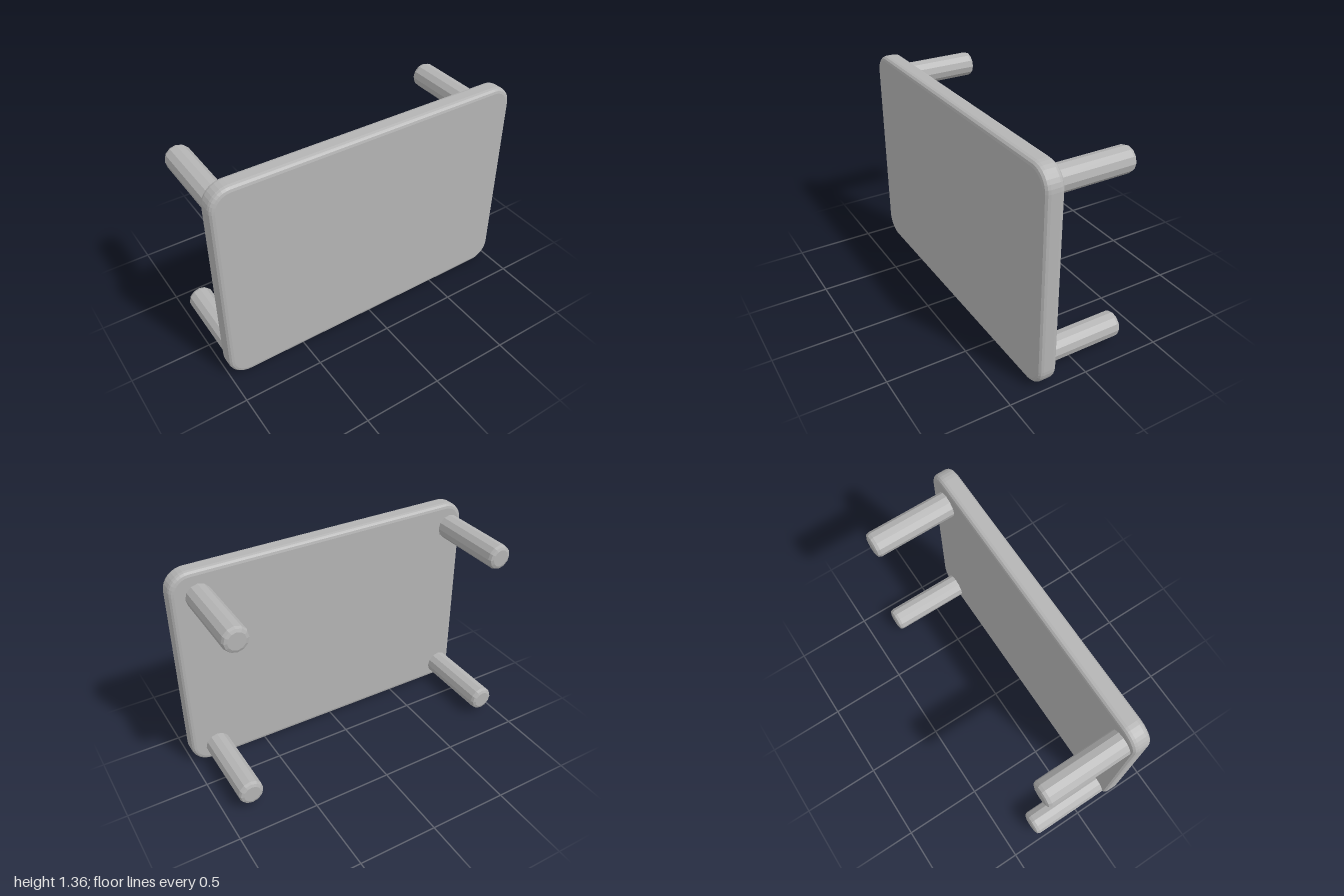
import * as THREE from 'three';

// Rounded rectangle outline centred on (0, cy)
function roundedRect(w, h, r, cy) {
  const x = w / 2, b = cy - h / 2, t = cy + h / 2;
  const s = new THREE.Shape();
  s.absarc(x - r, b + r, r, -Math.PI / 2, 0);
  s.absarc(x - r, t - r, r, 0, Math.PI / 2);
  s.absarc(-x + r, t - r, r, Math.PI / 2, Math.PI);
  s.absarc(-x + r, b + r, r, Math.PI, Math.PI * 1.5);
  s.closePath();
  return s;
}

export function createModel() {
  const model = new THREE.Group();
  model.name = 'panelWithPegs';
  const grey = new THREE.MeshStandardMaterial({ color: 0xb4b4b4, flatShading: true });
  grey.name = 'grey';

  // Upright panel with rounded corners and softened edges
  const bevel = 0.03, front = 0.318, back = 0.2;
  const panelGeometry = new THREE.ExtrudeGeometry(
    roundedRect(2 - 2 * bevel, 1.36 - 2 * bevel, 0.1, 0.68),
    { depth: front - back - 2 * bevel, bevelEnabled: true, bevelSize: bevel,
      bevelThickness: bevel, bevelSegments: 3, curveSegments: 4 });
  panelGeometry.translate(0, 0, back + bevel);
  const panel = new THREE.Mesh(panelGeometry, grey);
  panel.name = 'panel';
  model.add(panel);

  // Twelve-sided peg with a rounded tip, pointing backwards
  const r = 0.079, c = 0.025, length = 0.539;
  const profile = [
    [0, 0], [r, 0], [r, length - c], [r - c * 0.29, length - c * 0.29],
    [r - c, length], [0, length],
  ].map(([x, y]) => new THREE.Vector2(x, y));
  const pegGeometry = new THREE.LatheGeometry(profile, 12);
  pegGeometry.rotateX(-Math.PI / 2);
  pegGeometry.translate(0, 0, back + 0.02);

  // One peg near each corner
  for (const [side, x] of [['Right', -0.9], ['Left', 0.83]]) {
    for (const [level, y] of [['lower', 0.109], ['upper', 1.2]]) {
      const peg = new THREE.Mesh(pegGeometry, grey);
      peg.name = `${level}${side}Peg`;
      peg.position.set(x, y, 0);
      model.add(peg);
    }
  }
  return model;
}
